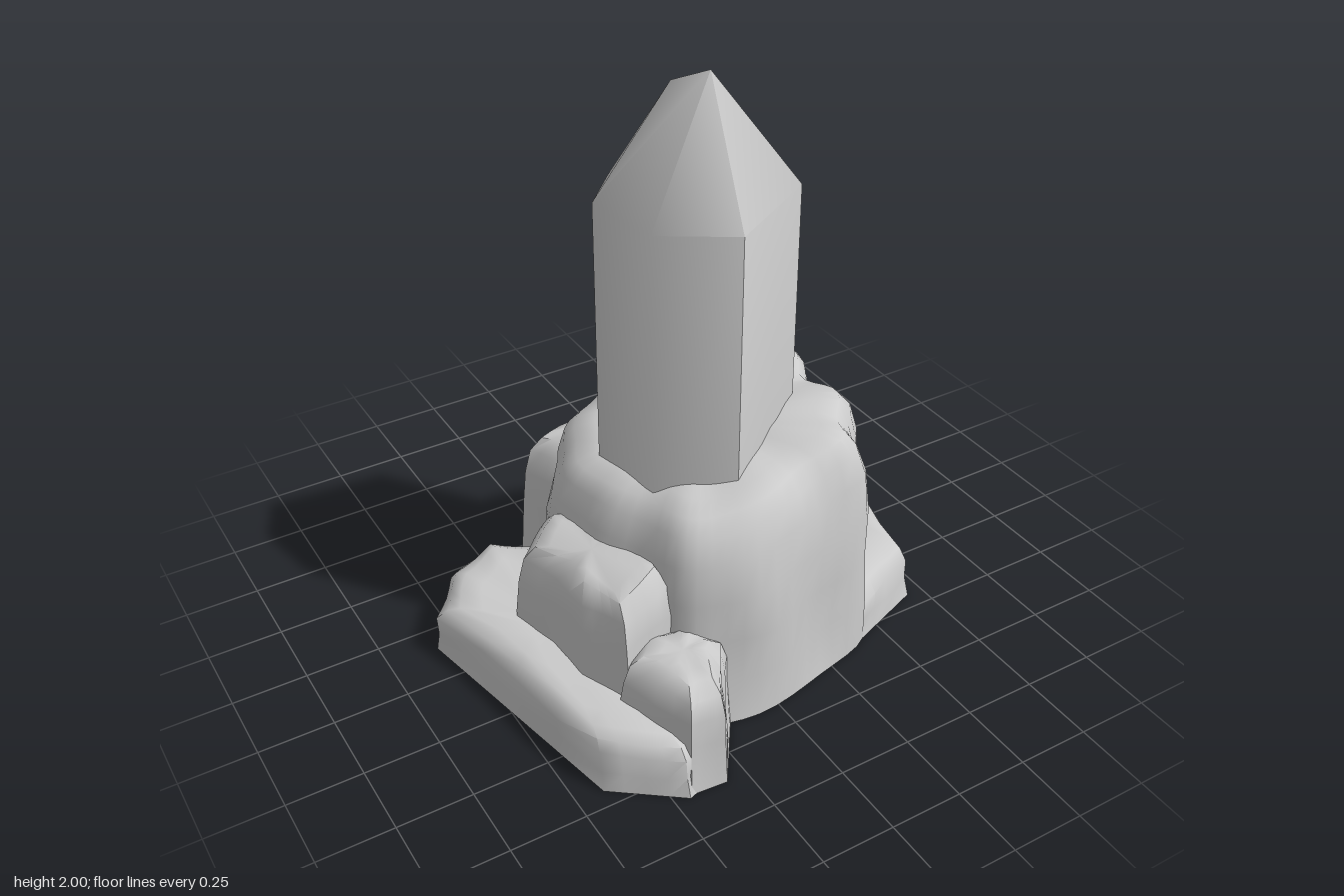
import * as THREE from 'three';
import { toCreasedNormals } from 'three/addons/utils/BufferGeometryUtils.js';

const material = new THREE.MeshStandardMaterial({ color: 0xcccccc, side: THREE.DoubleSide });

// Skin a stack of rings (equal point counts), optionally closed by a centre point on top
function skin(name, rings, crease, cap) {
  const pos = [];
  const tri = (a, b, c) => {
    if (a.distanceTo(b) < 1e-5 || b.distanceTo(c) < 1e-5 || c.distanceTo(a) < 1e-5) return;
    for (const p of [a, b, c]) pos.push(p.x, p.y, p.z);
  };
  rings.forEach((ring, i) => ring.forEach((a, j) => {
    const k = (j + 1) % ring.length, b = ring[k], up = rings[i + 1];
    if (up) {
      tri(a, b, up[k]);
      tri(a, up[k], up[j]);
    } else if (cap) tri(a, b, cap);
  }));
  const geo = new THREE.BufferGeometry();
  geo.setAttribute('position', new THREE.Float32BufferAttribute(pos, 3));
  const mesh = new THREE.Mesh(toCreasedNormals(geo, crease), material);
  mesh.name = name;
  return mesh;
}

// Rock: a ground outline [x, z] raised to a sloping top, with worn edges and gentle lumps
// top = [height, slope in x, slope in z]; profile = [inset, height fraction]
function rock({ name, outline, center, top, profile, round = false, lump = 0.012, steps = 4 }) {
  const [cx, cz] = center;
  let pts = outline.map(([x, z]) => new THREE.Vector3(x, 0, z));
  const area = pts.reduce((s, p, i) => {
    const q = pts[(i + 1) % pts.length];
    return s + p.x * q.z - q.x * p.z;
  }, 0);
  if (area > 0) pts.reverse();
  if (round) {
    pts = new THREE.CatmullRomCurve3(pts, true, 'centripetal').getPoints(pts.length * steps).slice(0, -1);
  } else {
    pts = pts.flatMap((p, i) => Array.from({ length: steps }, (_, k) =>
      p.clone().lerp(pts[(i + 1) % pts.length], k / steps)));
  }
  const height = (x, z) => top[0] + top[1] * x + top[2] * z;
  const rings = profile.map(([inset, f]) => pts.map((p) => {
    const dx = p.x - cx, dz = p.z - cz, r = Math.hypot(dx, dz);
    const wave = Math.sin(p.x * 17 + f * 5) * Math.sin(p.z * 15 - f * 4);
    const s = Math.max(0.15, 1 - (inset + (f > 0 ? lump * (1 - wave) : 0)) / r);
    const x = cx + dx * s, z = cz + dz * s;
    return new THREE.Vector3(x, height(x, z) * f + (f > 0.9 ? wave * lump * 0.5 : 0), z);
  }));
  return skin(name, rings, 0.8, new THREE.Vector3(cx, height(cx, cz), cz));
}

export function createModel() {
  const group = new THREE.Group();

  // Tall central boulder with a tilted top
  group.add(rock({
    name: 'mainBoulder', round: true, center: [0.05, 0.12], top: [0.775, 0.15, 0], lump: 0.015,
    outline: [[-0.48, 0], [-0.34, -0.25], [-0.2, -0.35], [-0.03, -0.4], [0.16, -0.37], [0.32, -0.3],
      [0.5, -0.23], [0.58, -0.05], [0.55, 0.1], [0.57, 0.27], [0.47, 0.44], [0.42, 0.54],
      [0.2, 0.61], [-0.08, 0.66], [-0.28, 0.6], [-0.36, 0.46], [-0.45, 0.22]],
    profile: [[0, 0], [0, 0.2], [0, 0.42], [0.01, 0.62], [0.03, 0.8], [0.06, 0.91], [0.1, 0.975], [0.17, 1], [0.3, 1]],
  }));

  // Low slabs around the foot
  const slabProfile = [[0, 0], [0, 0.35], [0.005, 0.7], [0.035, 0.9], [0.08, 1], [0.16, 1.02]];
  group.add(rock({
    name: 'leftBackSlab', center: [0.5, -0.2], top: [0.2, 0, 0], profile: slabProfile,
    outline: [[0.2, -0.86], [0.56, -0.75], [0.63, -0.38], [0.83, -0.14], [0.69, 0.44], [0.42, 0.54],
      [0.38, 0.3], [0.42, 0.05], [0.25, -0.2], [0, -0.33], [-0.08, -0.59]],
  }));
  group.add(rock({
    name: 'rightSlab', center: [-0.55, 0.1], top: [0.19, 0, 0], profile: slabProfile,
    outline: [[-0.83, -0.15], [-0.7, -0.32], [-0.52, -0.41], [-0.33, -0.27], [-0.38, 0.1], [-0.33, 0.45],
      [-0.3, 0.8], [-0.45, 0.85], [-0.66, 0.69]],
  }));

  // Mid-height steps leaning on the boulder
  const stepProfile = [[0, 0], [0, 0.45], [0.01, 0.72], [0.025, 0.9], [0.07, 1], [0.12, 1.01]];
  group.add(rock({
    name: 'rightStep', center: [-0.44, 0.24], top: [0.66, 0.3, 0], profile: stepProfile,
    outline: [[-0.62, 0.04], [-0.46, -0.07], [-0.3, 0], [-0.25, 0.3], [-0.3, 0.52], [-0.5, 0.58], [-0.57, 0.4]],
  }));
  group.add(rock({
    name: 'frontStep', center: [-0.34, 0.62], top: [0.36, 0, 0], profile: stepProfile,
    outline: [[-0.54, 0.55], [-0.44, 0.84], [-0.32, 0.85], [-0.16, 0.62], [-0.2, 0.48], [-0.42, 0.44]],
  }));
  group.add(rock({
    name: 'backStep', center: [-0.03, -0.4], top: [0.56, 0, 0.18], profile: stepProfile,
    outline: [[-0.35, -0.48], [-0.12, -0.58], [0, -0.58], [0.29, -0.47], [0.24, -0.28], [-0.27, -0.26]],
  }));

  // Six-sided crystal ending in a short off-centre ridge
  const plan = [[0.33, 0.2, 1.57], [0.19, -0.1, 1.6], [-0.17, -0.1, 1.6], [-0.31, 0.06, 1.61],
    [-0.26, 0.31, 1.6], [-0.04, 0.45, 1.6]];
  const apex = new THREE.Vector3(0, 2, 0.2), ridge = new THREE.Vector3(-0.07, 1.95, 0.1);
  group.add(skin('crystal', [
    plan.map(([x, z]) => new THREE.Vector3(x, 0.25, z)),
    plan.map(([x, z, y]) => new THREE.Vector3(x, y, z)),
    plan.map((_, i) => (i === 2 || i === 3 ? ridge : apex)),
  ], 1.1));

  return group;
}
